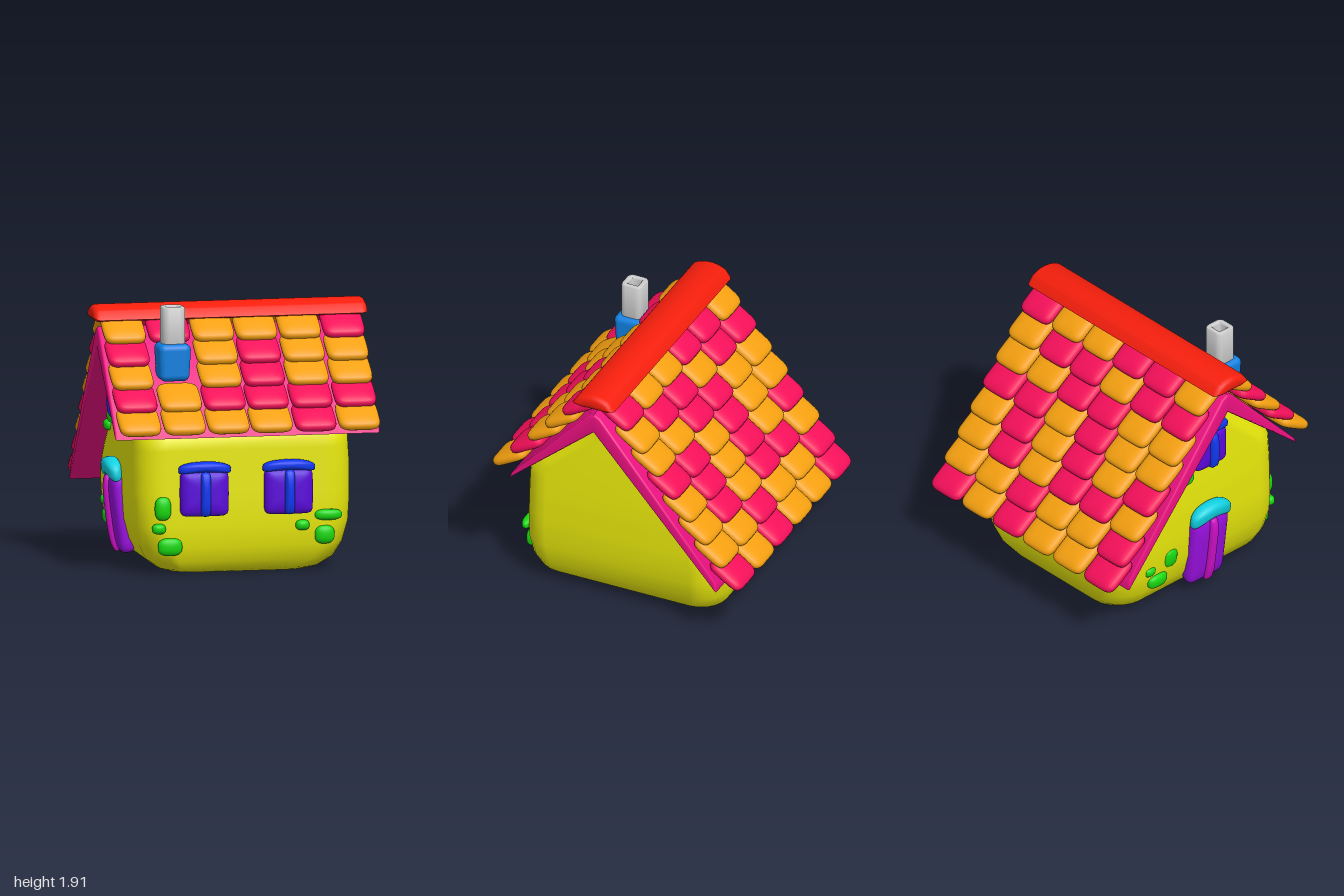
import * as THREE from 'three';
import { toCreasedNormals } from 'three/addons/utils/BufferGeometryUtils.js';
import { RoundedBoxGeometry } from 'three/addons/geometries/RoundedBoxGeometry.js';

const mat = (color, side = THREE.FrontSide) => new THREE.MeshStandardMaterial({ color, side });
const M = {
  wall: mat(0xe8e80c), roof: mat(0xec1080), pink: mat(0xf50f5a), orange: mat(0xf5a010), ridge: mat(0xf51e0c),
  blue: mat(0x1080e0), grey: mat(0xcccccc), trim: mat(0x1038f0), glass: mat(0x5a0adc), stone: mat(0x18d810),
  cyan: mat(0x10d0e0), door: mat(0x9a10e0), doorBar: mat(0xd010c8),
};

function add(parent, name, geo, material, x = 0, y = 0, z = 0) {
  const mesh = new THREE.Mesh(geo, material);
  mesh.name = name;
  mesh.position.set(x, y, z);
  parent.add(mesh);
  return mesh;
}

// Soft pillow (superellipsoid): outline in XY, thickness in Z, optional downward bend
function pillow(w, h, d, outline = 0.4, edge = 0.75, bend = 0) {
  const geo = new THREE.SphereGeometry(1, 28, 12);
  geo.rotateX(Math.PI / 2);
  const p = geo.attributes.position, n = geo.attributes.normal;
  const pw = (v, e) => Math.sign(v) * Math.pow(Math.abs(v), e);
  const v = new THREE.Vector3();
  for (let i = 0; i < p.count; i++) {
    const x = p.getX(i), y = p.getY(i), z = p.getZ(i);
    const r = Math.hypot(x, y), c = r > 1e-6 ? x / r : 0, s = r > 1e-6 ? y / r : 0;
    const px = pw(r, edge) * pw(c, outline) * w / 2;
    p.setXYZ(i, px, pw(r, edge) * pw(s, outline) * h / 2 - bend * px * px, pw(z, edge) * d / 2);
    v.set(pw(r, 2 - edge) * pw(c, 2 - outline) / w, pw(r, 2 - edge) * pw(s, 2 - outline) / h, pw(z, 2 - edge) / d);
    v.x += 2 * bend * px * v.y;
    v.normalize();
    n.setXYZ(i, v.x, v.y, v.z);
  }
  return geo;
}

// Walls: rounded-rectangle sections stacked upward, narrowing into the gable
function wallGeometry() {
  const base = [[0, 0.53, 0.68, -0.56], [0.025, 0.59, 0.74, -0.62], [0.09, 0.68, 0.79, -0.66], [0.2, 0.74, 0.825, -0.69],
    [0.35, 0.78, 0.84, -0.7], [0.52, 0.79, 0.84, -0.7]];
  const levels = base.slice();
  for (const y of [0.6, 0.7, 0.8, 0.9, 0.98, 1.05, 1.15, 1.25, 1.35, 1.45, 1.53, 1.6]) {
    levels.push([y, 0.79 - Math.max(0, y - 0.8) * 0.06,
      Math.min(0.84 - (y - 0.52) * 0.03, 0.17 + (1.61 - y) * 1.07), Math.max(-0.7, 0.15 - (1.61 - y) * 0.87)]);
  }
  const pos = [], idx = [], K = 6, N = 4 * K;
  for (const [y, hx, zf, zb] of levels) {
    const cz = (zf + zb) / 2, hz = (zf - zb) / 2, r = Math.min(0.2, hz * 0.8);
    for (let i = 0; i < N; i++) {
      const q = Math.floor(i / K), a = (q + (i % K) / (K - 1)) * Math.PI / 2;
      const sx = q === 0 || q === 3 ? 1 : -1, sz = q < 2 ? 1 : -1;
      pos.push(sx * (hx - r) + r * Math.cos(a), y, cz + sz * (hz - r) + r * Math.sin(a));
    }
  }
  for (let l = 0; l < levels.length - 1; l++) {
    for (let i = 0; i < N; i++) {
      const a = l * N + i, b = l * N + (i + 1) % N;
      idx.push(a, a + N, b, b, a + N, b + N);
    }
  }
  // floor and tip
  const c = pos.length / 3, top = (levels.length - 1) * N;
  pos.push(0, 0, 0.06, 0, 1.61, 0.16);
  for (let i = 0; i < N; i++) {
    const j = (i + 1) % N;
    idx.push(c, i, j, c + 1, top + j, top + i);
  }
  const geo = new THREE.BufferGeometry();
  geo.setAttribute('position', new THREE.Float32BufferAttribute(pos, 3));
  geo.setIndex(idx);
  geo.computeVertexNormals();
  return geo;
}

// Extrude a (z, y) outline along x from x0 to x1 with a rounded bevel
function alongX(shape, x0, x1, bevel) {
  const geo = new THREE.ExtrudeGeometry(shape, { depth: x1 - x0 - 2 * bevel, bevelEnabled: true,
    bevelSize: bevel, bevelThickness: bevel, bevelSegments: 4, curveSegments: 12 });
  geo.rotateY(Math.PI / 2);
  geo.translate(x0 + bevel, 0, 0);
  return toCreasedNormals(geo, 0.7);
}

// Window or door: panel, centre bar and arched lintel, facing local +z
function opening(name, w, h, panel, bar, lintel, lintelH, bend) {
  const g = new THREE.Group();
  g.name = name;
  add(g, 'panel', pillow(w, h, 0.14, 0.25, 0.6), panel);
  add(g, 'centreBar', pillow(0.075, h * 0.98, 0.1, 0.4, 0.8), bar, 0, 0, 0.055);
  add(g, 'lintel', pillow(w + 0.03, lintelH, 0.12, 0.5, 0.8, bend), lintel, 0, h / 2 + lintelH * 0.4, 0.02);
  return g;
}

export function createModel() {
  const house = new THREE.Group();
  house.name = 'house';
  add(house, 'walls', wallGeometry(), M.wall);

  // Roof slab: uneven inverted V
  const roof = new THREE.Shape();
  [[-0.82, 1.01], [-0.8, 1.035], [-0.2, 1.685], [-0.16, 1.705], [-0.12, 1.685], [0.79, 0.55], [0.8, 0.495],
    [-0.16, 1.595]].forEach(([u, y], i) => (i ? roof.lineTo(u, y) : roof.moveTo(u, y)));
  roof.closePath();
  add(house, 'roofSlab', alongX(roof, -0.955, 0.98, 0.016), M.roof);

  // Roof tiles, one letter per column, rows from the ridge down (- leaves a gap for the chimney)
  const columns = [-0.79, -0.465, -0.145, 0.17, 0.49, 0.81];
  const front = ['OPOOOP', 'P-OPOO', 'O-OPOO', 'POPPPP', 'OOOOPO'];
  const back = ['OPPOOP', 'PPOPPO', 'OOPPOO', 'OOPOPP', 'POPOPO', 'OPPOPO', 'POOPOO', 'POOPOP'];
  const tileGeo = pillow(0.305, 0.3, 0.095, 0.42, 0.7);
  const layTiles = (rows, name, y0, z0, dy, dz, angle) => rows.forEach((row, r) => {
    columns.forEach((x, c) => {
      if (row[c] === '-') return;
      const tile = add(house, name, tileGeo, row[c] === 'P' ? M.pink : M.orange, x, y0 + r * dy, z0 + r * dz);
      tile.rotation.x = -angle;
    });
  });
  layTiles(front, 'frontTile', 1.715, 0.305, -0.147, 0.138, Math.PI / 2 - 0.51);
  layTiles(back, 'backTile', 1.72, 0.015, -0.16, -0.1255, Math.PI / 2 + 0.6);

  // Ridge cap
  const cap = new THREE.Shape();
  cap.moveTo(-0.275, 1.808);
  cap.quadraticCurveTo(-0.225, 1.842, -0.165, 1.843);
  cap.quadraticCurveTo(-0.105, 1.842, -0.055, 1.808);
  cap.quadraticCurveTo(-0.165, 1.822, -0.275, 1.808);
  add(house, 'ridgeCap', alongX(cap, -1, 1, 0.042), M.ridge);

  // Chimney: tapered base and hollow pot
  const base = new RoundedBoxGeometry(0.235, 0.27, 0.235, 4, 0.045);
  const bp = base.attributes.position;
  for (let i = 0; i < bp.count; i++) {
    const k = 0.9 + 0.1 * Math.min(1, (bp.getY(i) + 0.135) / 0.2);
    bp.setX(i, bp.getX(i) * k);
    bp.setZ(i, bp.getZ(i) * k);
  }
  add(house, 'chimneyBase', base, M.blue, -0.475, 1.51, 0.53);
  const square = (path, h, r) => {
    path.moveTo(h, h - r);
    [[1, 1], [-1, 1], [-1, -1], [1, -1]].forEach(([sx, sy], i) => {
      path.absarc(sx * (h - r), sy * (h - r), r, i * Math.PI / 2, (i + 1) * Math.PI / 2, false);
    });
    return path;
  };
  const pot = square(new THREE.Shape(), 0.068, 0.03);
  pot.holes.push(square(new THREE.Path(), 0.055, 0.02));
  const potGeo = new THREE.ExtrudeGeometry(pot, { depth: 0.36, bevelSize: 0.015, bevelThickness: 0.015,
    bevelSegments: 3, curveSegments: 4 });
  potGeo.rotateX(-Math.PI / 2);
  add(house, 'chimneyPot', toCreasedNormals(potGeo, 0.8), M.grey, -0.475, 1.535, 0.525);
  add(house, 'chimneyFloor', new THREE.BoxGeometry(0.1, 0.1, 0.1), M.grey, -0.475, 1.74, 0.525);

  // Front windows, gable window and door
  for (const x of [-0.31, 0.305]) {
    const win = opening('frontWindow', 0.355, 0.33, M.glass, M.trim, M.trim, 0.075, 0.6);
    win.position.set(x, 0.595, 0.85);
    house.add(win);
  }
  const side = (part, x, y, z, lean) => {
    part.rotation.order = 'YXZ';
    part.rotation.set(lean, -Math.PI / 2, 0);
    part.position.set(x, y, z);
    house.add(part);
  };
  side(opening('gableWindow', 0.3, 0.3, M.glass, M.trim, M.trim, 0.075, 0.8), -0.77, 1.2, 0.13, 0);
  side(opening('door', 0.34, 0.58, M.door, M.doorBar, M.cyan, 0.13, 1.7), -0.775, 0.37, 0.1, 0.13);

  // Wall stones: across, height, width, tall
  const frontStones = [[-0.61, 0.49, 0.12, 0.17], [-0.64, 0.345, 0.1, 0.075], [-0.555, 0.21, 0.18, 0.13],
    [0.6, 0.415, 0.2, 0.08], [0.575, 0.27, 0.145, 0.135], [0.41, 0.345, 0.1, 0.075]];
  for (const [x, y, w, h] of frontStones) {
    add(house, 'frontStone', pillow(w, h, 0.08, 0.75, 0.9), M.stone, x, y, y < 0.3 ? 0.83 : 0.845);
  }
  const sideStones = [[-0.1, 1.03, 0.14, 0.1], [-0.24, 0.95, 0.12, 0.08], [-0.24, 0.41, 0.13, 0.16],
    [-0.44, 0.38, 0.1, 0.075], [-0.36, 0.27, 0.18, 0.11]];
  for (const [z, y, w, h] of sideStones) {
    const stone = new THREE.Group();
    stone.name = 'sideStone';
    add(stone, 'stone', pillow(w, h, 0.08, 0.75, 0.9), M.stone);
    side(stone, y < 0.5 ? -0.765 : -0.785, y, z, 0.1);
  }
  return house;
}
